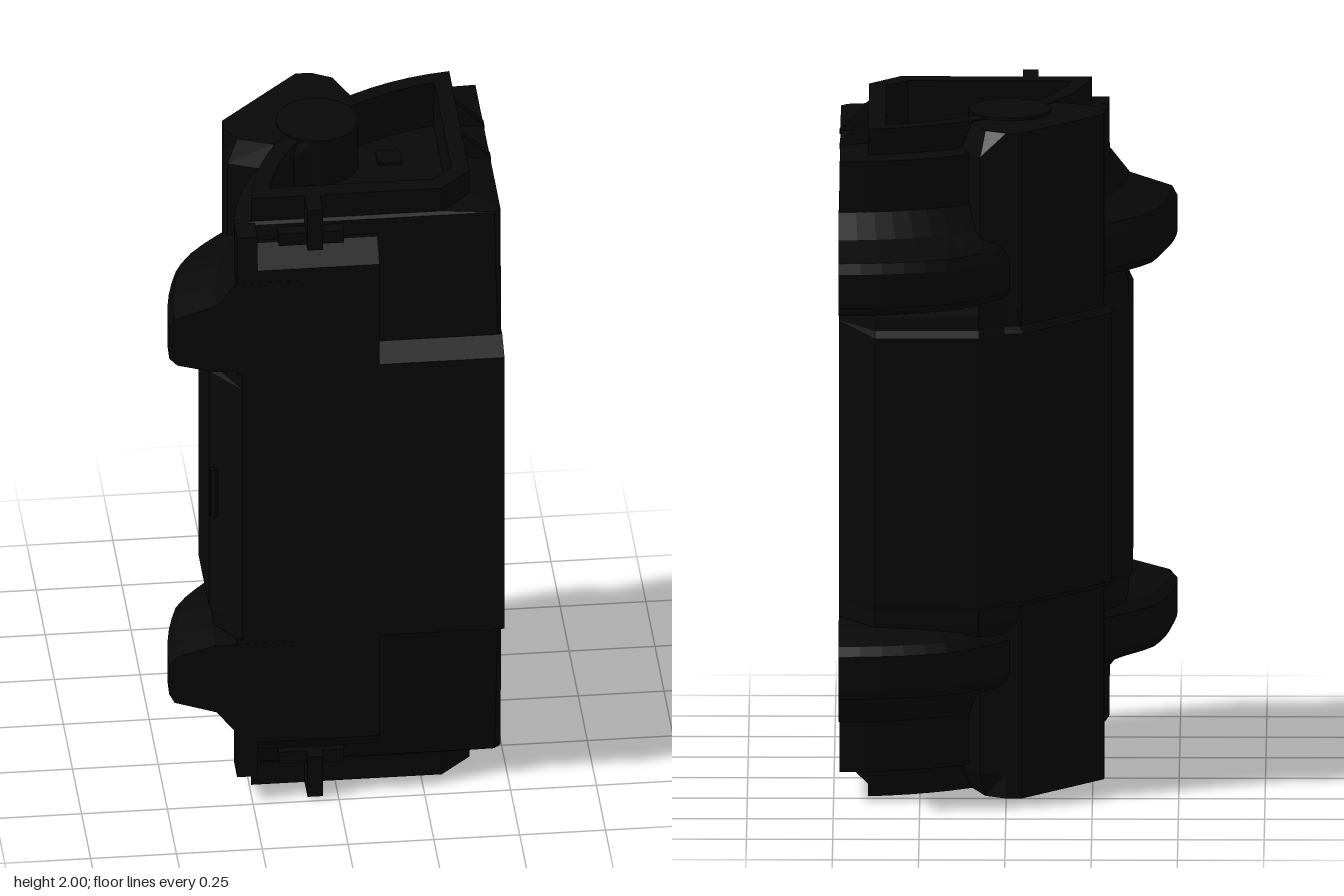
import * as THREE from 'three';

const shell = new THREE.MeshStandardMaterial({ color: 0x080808 });
shell.name = 'blackShell';
const C = 0.485; // the quarter round is struck from the corner (C, C)

// Skin a list of equal-length rings of [x, y, z] points and close both ends
function loft(rings) {
  const n = rings[0].length, pos = [];
  const tri = (a, b, c) => pos.push(...a, ...b, ...c);
  const mid = (r) => [0, 1, 2].map((k) => r.reduce((s, p) => s + p[k], 0) / n);
  const first = rings[0], last = rings[rings.length - 1];
  const m0 = mid(first), m1 = mid(last);
  for (let j = 0; j < n; j++) {
    const k = (j + 1) % n;
    for (let i = 0; i + 1 < rings.length; i++) {
      tri(rings[i][j], rings[i][k], rings[i + 1][k]);
      tri(rings[i][j], rings[i + 1][k], rings[i + 1][j]);
    }
    tri(m0, first[k], first[j]);
    tri(m1, last[j], last[k]);
  }
  // Turn all faces outward if the volume comes out negative
  let vol = 0;
  for (let i = 0; i < pos.length; i += 9) {
    const [a, b, c] = [0, 3, 6].map((o) => new THREE.Vector3(...pos.slice(i + o, i + o + 3)));
    vol += a.dot(b.cross(c));
  }
  if (vol < 0) {
    for (let i = 0; i < pos.length; i += 9) {
      for (let k = 0; k < 3; k++) [pos[i + 3 + k], pos[i + 6 + k]] = [pos[i + 6 + k], pos[i + 3 + k]];
    }
  }
  const g = new THREE.BufferGeometry();
  g.setAttribute('position', new THREE.Float32BufferAttribute(pos, 3));
  g.computeVertexNormals();
  return g;
}

const atHeight = (outline, y) => outline.map(([x, z]) => [x, y, z]);

// Quarter-round outline: radius R, flat faces at x = cx and z = cz, corner cut off
function quarter(R, cx, cz, cut) {
  const out = [], a0 = Math.asin((C - cz) / R), a1 = Math.acos((C - cx) / R);
  for (let i = 0; i <= 16; i++) {
    const a = a0 + (a1 - a0) * (i / 16);
    out.push([C - R * Math.cos(a), C - R * Math.sin(a)]);
  }
  out.push([cx, cz - cut], [cx - cut, cz]);
  return out;
}

export function createModel() {
  const model = new THREE.Group();
  const add = (name, geometry) => {
    const mesh = new THREE.Mesh(geometry, shell);
    mesh.name = name;
    model.add(mesh);
    return mesh;
  };
  const box = (name, x0, x1, y0, y1, z0, z1) =>
    add(name, new THREE.BoxGeometry(x1 - x0, y1 - y0, z1 - z0))
      .position.set((x0 + x1) / 2, (y0 + y1) / 2, (z0 + z1) / 2);
  // Same box at the top and, mirrored about mid height, at the bottom
  const pair = (name, x0, x1, y0, y1, z0, z1) => {
    box(name + 'Upper', x0, x1, y0, y1, z0, z1);
    box(name + 'Lower', x0, x1, 2 - y1, 2 - y0, z0, z1);
  };

  // Core with flat shoulders, an upright narrower cap and a sunken pan at each end
  const half = [
    [0.7, 0.48, 0.42, 0.01, 1.46], [0.785, 0.482, 0.42, 0.01, 1.47],
    [0.785, 0.482, 0.41, 0.02, 1.91], [0.735, 0.4, 0.4, 0.09, 1.918], [0.735, 0.4, 0.4, 0.09, 1.995],
    [0.685, 0.35, 0.345, 0.06, 1.995], [0.683, 0.348, 0.343, 0.06, 1.85],
  ].map(([R, cx, cz, cut, y]) => [quarter(R, cx, cz, cut), y]);
  const sections = [...half.map(([o, y]) => [o, 2 - y]).reverse(), ...half];
  add('core', loft(sections.map(([o, y]) => atHeight(o, y))));

  // Middle body with a wide cut corner; its front face slopes back at both ends
  const middle = (s, front) => {
    const k = (0.365 - s) * 1.5;
    return [
      [-0.28, front], [-s, 0.37], [-s, 0.08], [k - 0.315, 0.005], [k - 0.305, k - 0.05],
      [k - 0.05, k - 0.305], [0.005, k - 0.315], [0.08, -s], [0.38, -s], [0.484, -0.225], [0.484, front],
    ];
  };
  const middleHalf = [[0.365, 0.484, 1.4], [0.355, 0.484, 1.42], [0.352, 0.484, 1.46], [0.345, 0.42, 1.5]];
  add('middleBody', loft([...middleHalf.map(([s, f, y]) => [s, f, 2 - y]).reverse(), ...middleHalf]
    .map(([s, f, y]) => atHeight(middle(s, f), y))));

  // Flanges sweep round the back and sink into the corner rib
  const profile = [
    [0.6, 1.76], [0.785, 1.76], [0.84, 1.69], [0.962, 1.65], [0.978, 1.62],
    [0.978, 1.52], [0.955, 1.495], [0.845, 1.465], [0.6, 1.465],
  ];
  const flange = (mirror) => {
    const rings = [];
    for (let i = 0; i <= 24; i++) {
      const deg = (i * 90) / 24, fromEnd = Math.min(deg, 90 - deg);
      const shrink = 0.07 * THREE.MathUtils.clamp((fromEnd - 20) / 14, 0, 1);
      const a = THREE.MathUtils.degToRad(deg);
      rings.push(profile.map(([r, y]) => {
        const q = r - (r > 0.9 ? shrink : 0);
        return [C - q * Math.cos(a), mirror ? 2 - y : y, C - q * Math.sin(a)];
      }));
    }
    return loft(rings);
  };
  add('upperFlange', flange(false));
  add('lowerFlange', flange(true));

  // Corner rib with a bevelled inner side, and a round boss on each end
  const rib = (b) => [
    [-0.283, 0], [-0.25 - b, 0.06 + b / 2], [-0.15, 0.1 + b], [-0.02, 0.1], [0.1, -0.02],
    [0.1 + b, -0.15], [0.06 + b / 2, -0.25 - b], [0, -0.283], [-0.045, -0.283], [-0.283, -0.045],
  ];
  add('cornerRib', loft([[0, 0.008], [0.03, 0.08], [0.03, 1.92], [0, 1.992]]
    .map(([b, y]) => atHeight(rib(b), y))));
  add('endBoss', new THREE.CylinderGeometry(0.12, 0.12, 2, 28)).position.set(-0.01, 1, -0.01);

  // Front side panels, sloped at the outer end
  const panel = (x0, x1, y, z) => [[x0, y, 0.4], [x1, y, 0.4], [x1, y, z], [x0, y, z]];
  for (const up of [true, false]) {
    add(up ? 'frontPanelUpper' : 'frontPanelLower', loft([[1.45, 0.484], [1.8, 0.484], [1.86, 0.425]]
      .map(([y, z]) => panel(-0.295, 0.12, up ? y : 2 - y, z))));
  }

  // Shoulder blocks, handles and locating posts on the front
  pair('frontShoulder', -0.295, -0.235, 1.78, 1.915, 0.4, 0.484);
  pair('frontHandle', -0.17, 0.02, 1.86, 1.9, 0.4, 0.45);
  pair('frontPost', -0.09, -0.045, 1.86, 1.995, 0.39, 0.484);

  // Right face: thin hatches and latch blocks
  pair('sideHatch', 0.46, 0.485, 1.5, 1.76, 0.06, 0.36);
  pair('sideLatch', 0.46, 0.485, 1.27, 1.42, 0.21, 0.38);
  pair('sideVent', 0.46, 0.485, 1.6, 1.75, -0.14, 0);

  // Gussets bracing the caps against the right shoulder
  for (const z of [-0.1, 0.08]) {
    for (const up of [true, false]) {
      const points = [[0.37, 1.9], [0.484, 1.9], [0.484, 1.912], [0.4, 1.994], [0.37, 1.994]];
      const shape = new THREE.Shape(points.map(([x, y]) => new THREE.Vector2(x, up ? y : 2 - y)));
      add('sideGusset', new THREE.ExtrudeGeometry(shape, { depth: 0.03, bevelEnabled: false })).position.z = z;
    }
  }

  // Small raised pads in the pans and at mid height
  pair('panPadRight', 0.165, 0.235, 1.84, 1.858, -0.05, 0.02);
  pair('panPadFront', -0.05, 0.02, 1.84, 1.858, 0.165, 0.235);
  box('middlePad', -0.364, -0.33, 0.92, 1.08, 0.37, 0.4);
  return model;
}
